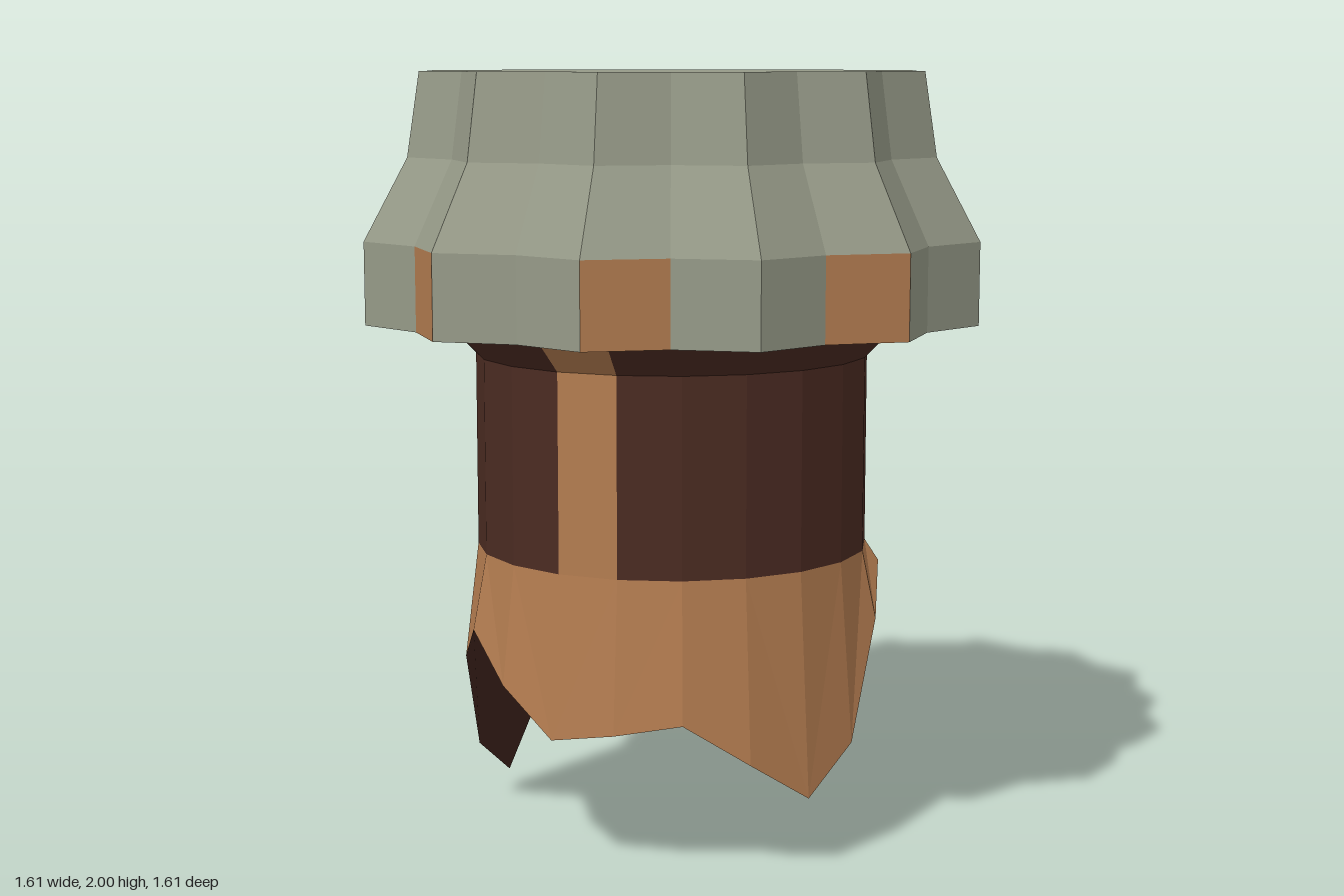
import * as THREE from 'three';

const grey = new THREE.MeshStandardMaterial({ color: 0x969a88 });
grey.name = 'weathered grey';
const brown = new THREE.MeshStandardMaterial({ color: 0x4b2b22 });
brown.name = 'dark brown';
const tan = new THREE.MeshStandardMaterial({ color: 0xb37c50 });
tan.name = 'tan wood';

// Ring of n points; angle 0 faces the front and grows towards +x.
function ring(n, radius, height) {
  return Array.from({ length: n }, (_, i) => {
    const a = (i / n) * Math.PI * 2;
    const r = radius(i);
    return [r * Math.sin(a), height(i), r * Math.cos(a)];
  });
}

// Mesh of separate triangles, each a triple of points, so every face is flat.
function facets(name, material, triangles) {
  const geometry = new THREE.BufferGeometry();
  geometry.setAttribute('position', new THREE.Float32BufferAttribute(triangles.flat(2), 3));
  geometry.computeVertexNormals();
  const mesh = new THREE.Mesh(geometry, material);
  mesh.name = name;
  return mesh;
}

// Wall between neighbouring rings, listed bottom to top; keep(i, level) picks the panels.
function wall(rings, keep = () => true) {
  const triangles = [];
  for (let level = 0; level < rings.length - 1; level++) {
    const low = rings[level], high = rings[level + 1], n = low.length;
    for (let i = 0; i < n; i++) {
      if (!keep(i, level)) continue;
      const j = (i + 1) % n;
      // The diagonal starts at the lower corner, which avoids thin slivers
      if (low[i][1] > low[j][1]) triangles.push([low[i], low[j], high[i]], [low[j], high[j], high[i]]);
      else triangles.push([low[i], low[j], high[j]], [low[i], high[j], high[i]]);
    }
  }
  return triangles;
}

// Closed disc around the axis, for the fluted cap.
function disc(points, up) {
  const centre = [0, points[0][1], 0];
  return points.map((p, i) => {
    const q = points[(i + 1) % points.length];
    return up ? [centre, p, q] : [centre, q, p];
  });
}

// Jagged underside of a 20-point ring: cut off every other corner twice, then fill the pentagon.
function jaggedUnderside(points) {
  const corners = [];
  for (const step of [1, 2]) {
    for (let k = 1; k < 20; k += step * 2) corners.push([k, k + step, k + step * 2]);
  }
  corners.push([9, 13, 17], [17, 1, 5], [5, 9, 17]);
  return corners.map(([a, b, c]) => [points[a], points[c % 20], points[b % 20]]);
}

export function createModel() {
  const model = new THREE.Group();
  model.name = 'brokenPost';

  // Fluted cap: 12 ridges, with a tan panel on every third face of its lower band
  const cap = new THREE.Group();
  cap.name = 'cap';
  const capRings = [[0.804, 1.363], [0.804, 1.575], [0.69, 1.785], [0.657, 2]].map(([r, y]) =>
    ring(24, (i) => (i % 2 ? r * 0.906 : r), () => y));
  const isPanel = (i, level) => level === 0 && i % 3 === 0;
  cap.add(
    facets('capSides', grey, wall(capRings, (i, l) => !isPanel(i, l))),
    facets('capPanels', tan, wall(capRings, isPanel)),
    facets('capTop', grey, disc(capRings[3], true)),
    facets('capUnderside', grey, disc(capRings[0], false)),
  );

  // Wrapped shaft with a flared collar and three bare strips
  const shaft = new THREE.Group();
  shaft.name = 'shaft';
  const shaftRings = [[0.513, 0.767], [0.513, 1.273], [0.6, 1.363]].map(([r, y]) =>
    ring(20, () => r, () => y));
  const isStrip = (i) => [7, 13, 19].includes(i);
  shaft.add(
    facets('shaftWrap', brown, wall(shaftRings, (i) => !isStrip(i))),
    facets('shaftStrips', tan, wall(shaftRings, isStrip)),
  );

  // Splintered lower end with a dark core, shaded as one surface facing down
  const stump = new THREE.Group();
  stump.name = 'splinteredEnd';
  const breakHeights = [0.38, 0.41, 0.30, 0.19, 0.30, 0.59, 0.71, 0.44, 0.05, 0,
    0.38, 0.757, 0.71, 0.32, 0.05, 0.17, 0.46, 0.57, 0.46, 0.35];
  const breakRing = ring(20, () => 0.55, (i) => breakHeights[i]);
  const core = facets('brokenCore', brown, jaggedUnderside(breakRing));
  const normals = core.geometry.attributes.normal;
  for (let i = 0; i < normals.count; i++) normals.setXYZ(i, 0, -1, 0);
  stump.add(facets('splinters', tan, wall([breakRing, shaftRings[0]])), core);

  model.add(cap, shaft, stump);
  return model;
}
